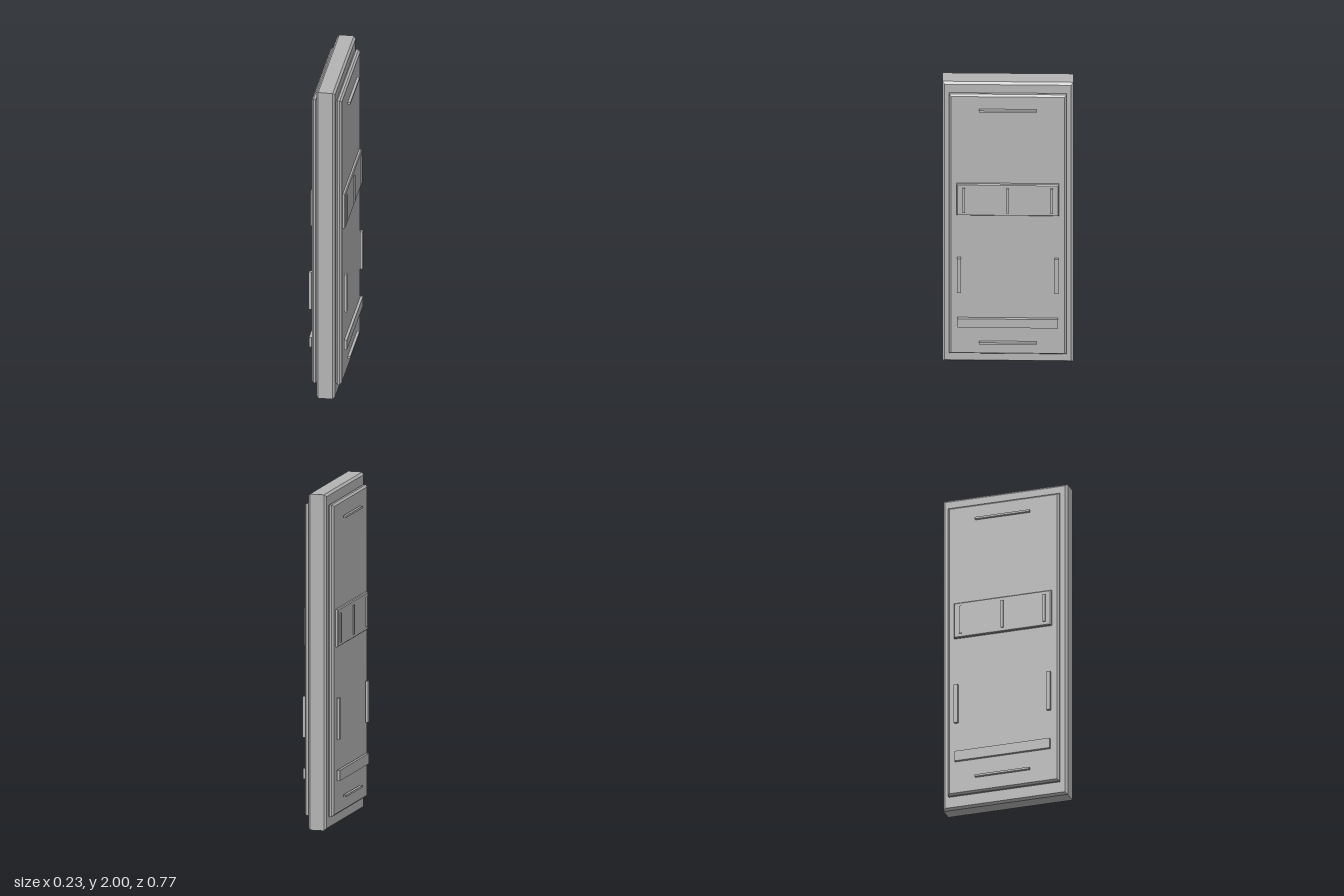
import * as THREE from 'three';

const grey = new THREE.MeshStandardMaterial({ color: 0xb4b4b4 });
grey.name = 'grey';

// Slab facing +x with chamfered rims, from x0 to x1, y0 to y1, and z = -halfZ to halfZ
function slab(name, x0, x1, y0, y1, halfZ, chamfer) {
  const w = halfZ - chamfer, h = (y1 - y0) / 2 - chamfer;
  const shape = new THREE.Shape([
    new THREE.Vector2(-w, -h), new THREE.Vector2(w, -h),
    new THREE.Vector2(w, h), new THREE.Vector2(-w, h),
  ]);
  const geometry = new THREE.ExtrudeGeometry(shape, {
    depth: x1 - x0 - 2 * chamfer, bevelEnabled: true,
    bevelThickness: chamfer, bevelSize: chamfer, bevelSegments: 1,
  });
  geometry.center();
  geometry.rotateY(Math.PI / 2);
  const mesh = new THREE.Mesh(geometry, grey);
  mesh.name = name;
  mesh.position.set((x0 + x1) / 2, (y0 + y1) / 2, 0);
  return mesh;
}

// Plain raised strip
function strip(name, x0, x1, y0, y1, z, width) {
  const mesh = new THREE.Mesh(new THREE.BoxGeometry(x1 - x0, y1 - y0, width), grey);
  mesh.name = name;
  mesh.position.set((x0 + x1) / 2, (y0 + y1) / 2, z);
  return mesh;
}

// Everything mounted on one broad face
function createFace(name) {
  const face = new THREE.Group();
  face.name = name;
  face.add(slab('facePanel', 0.053, 0.089, 0.077, 1.934, 0.343, 0.011));
  face.add(slab('middlePlate', 0.083, 0.105, 1.081, 1.305, 0.3, 0.005));

  // Three upright ribs on the middle plate
  for (const z of [-0.258, 0, 0.258]) {
    face.add(strip('plateRib', 0.1, 0.113, 1.105, 1.28, z, 0.015));
  }
  // Upright bars near both edges
  for (const z of [-0.285, 0.285]) {
    face.add(strip('sideBar', 0.096, 0.113, 0.532, 0.777, z, 0.024));
  }
  // Wide lower bar and the slim bars at top and bottom
  face.add(strip('lowerBar', 0.096, 0.113, 0.284, 0.347, 0, 0.586));
  for (const y of [0.172, 1.834]) {
    face.add(strip('slimBar', 0.096, 0.113, y - 0.006, y + 0.006, 0, 0.336));
  }
  return face;
}

export function createModel() {
  const model = new THREE.Group();
  model.name = 'panelledSlab';
  model.add(slab('core', -0.056, 0.056, 0, 2, 0.383, 0.013));

  const left = createFace('leftFace');
  const right = createFace('rightFace');
  right.rotation.y = Math.PI;
  model.add(left, right);
  return model;
}
